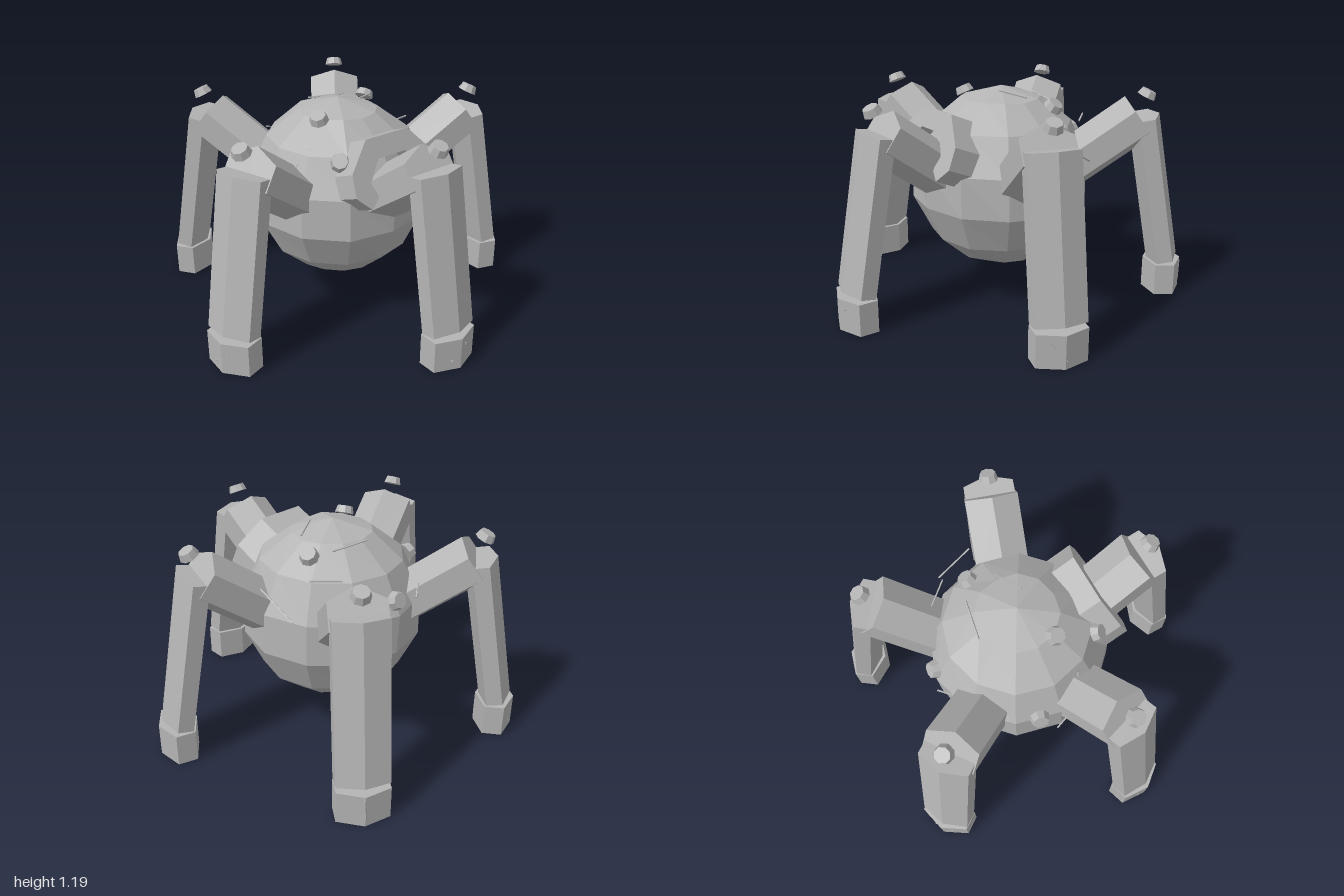
import * as THREE from 'three';

const CENTER = new THREE.Vector3(0, 0.68, -0.075);
const UP = new THREE.Vector3(0, 1, 0);

export function createModel() {
  const model = new THREE.Group();
  model.name = 'fiveLeggedWalker';
  const stone = new THREE.MeshStandardMaterial({ color: 0xb4b4b4, flatShading: true });
  stone.name = 'stone grey';

  const add = (parent, geometry, name) => {
    const mesh = new THREE.Mesh(geometry, stone);
    mesh.name = name;
    parent.add(mesh);
    return mesh;
  };

  // Six-sided strut in the local x = 0 plane; points are [z, y]
  const strut = (parent, name, [z1, y1], [z2, y2], halfWidth, halfDepth) => {
    const geo = new THREE.CylinderGeometry(1, 1, Math.hypot(z2 - z1, y2 - y1), 6);
    geo.scale(halfWidth / 0.866, 1, halfDepth);
    const mesh = add(parent, geo, name);
    mesh.position.set(0, (y1 + y2) / 2, (z1 + z2) / 2);
    mesh.rotation.x = Math.atan2(z2 - z1, y2 - y1);
  };

  // Thin splinter between two points
  const splinter = (parent, name, a, b) => {
    const from = new THREE.Vector3(...a), to = new THREE.Vector3(...b);
    const mesh = add(parent, new THREE.CylinderGeometry(0.005, 0.005, from.distanceTo(to), 4), name);
    mesh.position.copy(from).add(to).multiplyScalar(0.5);
    mesh.quaternion.setFromUnitVectors(UP, to.sub(from).normalize());
  };

  // Small bevelled stud facing along a direction
  const stud = (parent, name, position, normal) => {
    const mesh = add(parent, new THREE.CylinderGeometry(0.042, 0.053, 0.04, 8), name);
    mesh.position.copy(position);
    mesh.quaternion.setFromUnitVectors(UP, normal);
  };

  // Faceted round body, slightly uneven
  const bodyGeo = new THREE.SphereGeometry(0.505, 12, 7);
  const p = bodyGeo.attributes.position, v = new THREE.Vector3();
  for (let i = 0; i < p.count; i++) {
    v.fromBufferAttribute(p, i);
    const wobble = 1 + 0.02 * Math.sin(v.x * 17 + v.y * 9) * Math.cos(v.z * 13 - v.y * 7);
    p.setXYZ(i, v.x * wobble, v.y * wobble, v.z * wobble);
  }
  bodyGeo.computeVertexNormals();
  add(model, bodyGeo, 'body').position.copy(CENTER);

  // Arched brow over the front of the body
  const arch = new THREE.Shape([
    [0.2, -0.05], [0.28, 0.03], [0.27, 0.15], [0.14, 0.3],
    [-0.14, 0.3], [-0.27, 0.15], [-0.28, 0.03], [-0.2, -0.05],
    [-0.14, 0], [-0.17, 0.08], [-0.09, 0.19],
    [0.09, 0.19], [0.17, 0.08], [0.14, 0],
  ].map(([x, y]) => new THREE.Vector2(x, y)));
  const browGeo = new THREE.ExtrudeGeometry(arch, { depth: 0.19, bevelEnabled: false });
  browGeo.translate(0, 0, -0.19);
  const brow = add(model, browGeo, 'brow');
  brow.position.set(0, 0.83, 0.455);
  brow.rotation.x = -0.4;

  // Five legs spaced evenly around the body, each with a different mark on its foot
  const footMarks = [
    [-0.05, 0.05, 0.05, 0.13], [-0.065, 0.14, 0.01, 0.04], [0.005, 0.03, -0.005, 0.16],
    [-0.06, 0.05, 0.06, 0.08], [-0.05, 0.05, 0.04, 0.13],
  ];
  footMarks.forEach(([x1, y1, x2, y2], i) => {
    const leg = new THREE.Group();
    leg.name = 'leg' + (i + 1);
    leg.position.z = -0.082;
    leg.rotation.y = (i * Math.PI * 2) / 5;
    strut(leg, 'upperLeg', [0.34, 0.715], [0.76, 1.02], 0.145, 0.14);
    strut(leg, 'shin', [0.935, 0.195], [0.787, 1.025], 0.138, 0.088);
    strut(leg, 'foot', [0.937, 0], [0.937, 0.18], 0.138, 0.107);
    stud(leg, 'kneeStud', new THREE.Vector3(0, 1.15, 0.803),
      new THREE.Vector3(0, Math.cos(0.45), Math.sin(0.45)));
    splinter(leg, 'footSplinter', [x1, y1, 1.044 - Math.abs(x1) * 0.38], [x2, y2, 1.044 - Math.abs(x2) * 0.38]);
    model.add(leg);
  });

  // Studs on the body
  for (const [x, y, z] of [
    [0.3, 1.115, -0.21], [-0.21, 1.15, 0.035], [-0.25, 0.99, 0.27],
    [-0.49, 0.89, -0.21], [0.02, 0.89, -0.57],
  ]) {
    const position = new THREE.Vector3(x, y, z);
    stud(model, 'bodyStud', position, position.clone().sub(CENTER).normalize());
  }

  // Splinters on the body
  for (const [a, b] of [
    [[-0.03, 1.13, -0.31], [0.19, 1.12, -0.27]],
    [[0.09, 1.185, 0], [0.23, 1.16, -0.08]],
    [[-0.47, 0.83, 0.04], [-0.31, 1.02, 0.1]],
    [[0.5, 0.84, -0.3], [0.52, 0.96, -0.09]],
    [[0.28, 1.04, -0.43], [0.39, 1.035, -0.31]],
    [[-0.17, 0.92, -0.54], [-0.09, 0.88, -0.6]],
    [[-0.55, 0.8, -0.14], [-0.53, 0.84, -0.07]],
  ]) splinter(model, 'bodySplinter', a, b);

  return model;
}
